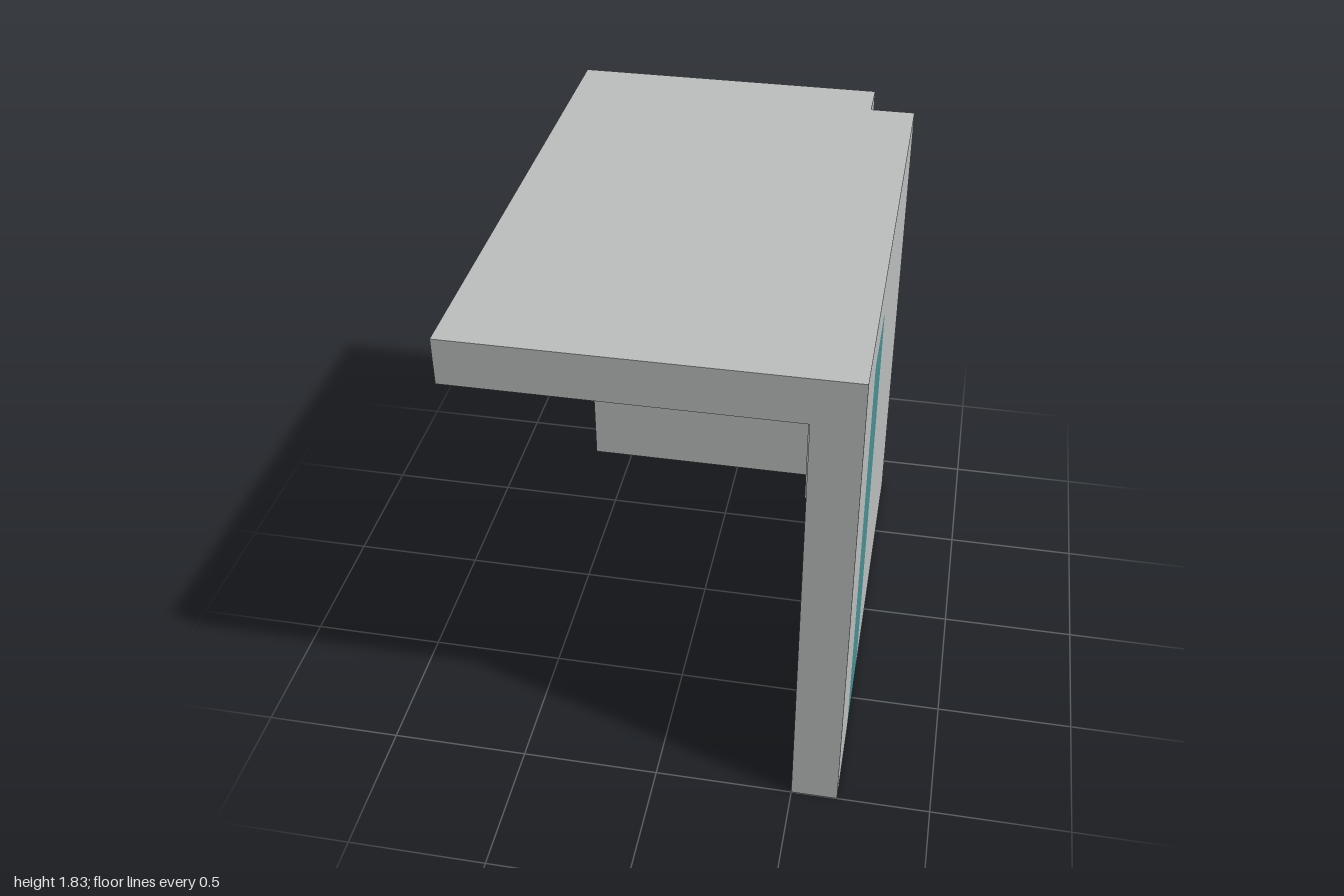
import * as THREE from 'three';

export function createModel() {
  const grey = new THREE.MeshStandardMaterial({ color: 0xbcc0bf });
  grey.name = 'pale grey';
  const teal = new THREE.MeshStandardMaterial({ color: 0x4a9194 });
  teal.name = 'teal';

  const T = 1 / 6; // thickness of every slab
  const X = 4 * T, Y = 11 * T; // half width and height
  const model = new THREE.Group();
  model.name = 'corner shelter';

  function add(name, geometry, material) {
    const mesh = new THREE.Mesh(geometry, material);
    mesh.name = name;
    model.add(mesh);
  }

  // box given by its lower and upper corners
  function slab(name, [x0, y0, z0], [x1, y1, z1]) {
    const g = new THREE.BoxGeometry(x1 - x0, y1 - y0, z1 - z0);
    g.translate((x0 + x1) / 2, (y0 + y1) / 2, (z0 + z1) / 2);
    add(name, g, grey);
  }

  // outline drawn in (-z, y), extruded through the side wall
  function sidePanel(name, shape, material) {
    const g = new THREE.ExtrudeGeometry(shape, { depth: T, bevelEnabled: false, curveSegments: 4 });
    g.rotateY(Math.PI / 2).translate(X - T, 0, 0);
    add(name, g, material);
  }

  // upright stripe outline with rounded top corners
  const a = -4 * T, b = -2 * T, top = 10 * T, r = 0.03;
  function traceStripe(path) {
    path.lineTo(a, top - r);
    path.quadraticCurveTo(a, top, a + r, top);
    path.lineTo(b - r, top);
    path.quadraticCurveTo(b, top, b, top - r);
    path.lineTo(b, 0);
  }

  const wall = new THREE.Shape();
  wall.moveTo(-1, 0);
  wall.lineTo(a, 0);
  traceStripe(wall);
  wall.lineTo(5 * T, 0);
  wall.lineTo(5 * T, Y);
  wall.lineTo(-1, Y);
  sidePanel('sideWall', wall, grey);

  const stripe = new THREE.Shape();
  stripe.moveTo(a, 0);
  traceStripe(stripe);
  sidePanel('tealStripe', stripe, teal);

  // back wall, roof, and the post filling the inner corner
  slab('backWall', [-X, 0, -1], [X - T, Y, T - 1]);
  slab('roof', [-X, Y - T, T - 1], [X - T, Y, 1]);
  slab('cornerPost', [X - 2 * T, 0, T - 1], [X - T, Y - T, 2 * T - 1]);

  return model;
}
